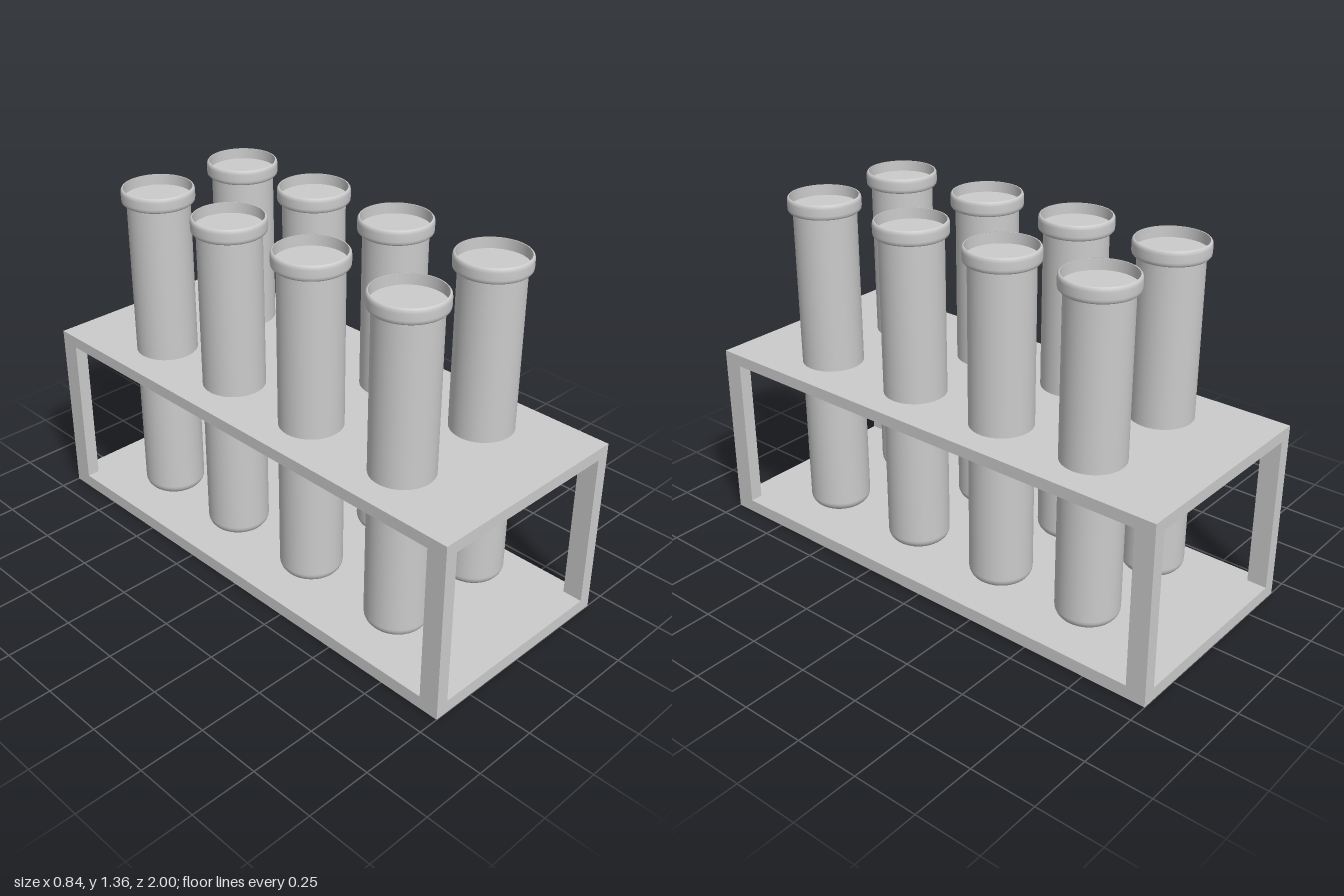
import * as THREE from 'three';

const material = new THREE.MeshStandardMaterial({ color: 0xcccccc });

function addBox(parent, name, size, position) {
  const mesh = new THREE.Mesh(new THREE.BoxGeometry(...size), material);
  mesh.name = name;
  mesh.position.set(...position);
  parent.add(mesh);
}

// Tube outline from the bottom centre, up the wall, round the lip and into the filled recess
function tubeGeometry() {
  const r = 0.117, lip = 0.135, inner = 0.126, bend = 0.04;
  const pts = [];
  const add = (x, y) => pts.push(new THREE.Vector2(x, y));
  // a doubled point keeps its edge sharp
  const corner = (x, y) => { add(x, y); add(x, y); };
  add(0, 0.08);
  for (let i = 0; i <= 6; i++) {
    const a = (i / 6) * Math.PI / 2;
    add(r - bend + bend * Math.sin(a), 0.08 + bend * (1 - Math.cos(a)));
  }
  corner(r, 1.3);
  add(lip - 0.006, 1.3);
  add(lip - 0.001, 1.306);
  add(lip, 1.315);
  add(lip, 1.34);
  add(lip - 0.001, 1.349);
  add(lip - 0.005, 1.355);
  corner(inner, 1.355);
  corner(inner, 1.315);
  add(0, 1.315);
  return new THREE.LatheGeometry(pts, 48);
}

export function createModel() {
  const model = new THREE.Group();
  model.name = 'testTubeRack';

  // Rack: two plates joined by four corner posts
  const rack = new THREE.Group();
  rack.name = 'rack';
  addBox(rack, 'basePlate', [0.84, 0.05, 2], [0, 0.025, 0]);
  addBox(rack, 'topPlate', [0.84, 0.045, 2], [0, 0.6775, 0]);
  for (const sx of [-1, 1]) {
    for (const sz of [-1, 1]) {
      addBox(rack, 'cornerPost', [0.05, 0.605, 0.077], [sx * 0.395, 0.3525, sz * 0.9615]);
    }
  }
  model.add(rack);

  // Two rows of four tubes
  const tubes = new THREE.Group();
  tubes.name = 'tubes';
  const geometry = tubeGeometry();
  for (const x of [-0.205, 0.205]) {
    for (const z of [-0.61, -0.217, 0.19, 0.62]) {
      const tube = new THREE.Mesh(geometry, material);
      tube.name = 'tube';
      tube.position.set(x, 0, z);
      tubes.add(tube);
    }
  }
  model.add(tubes);
  return model;
}
